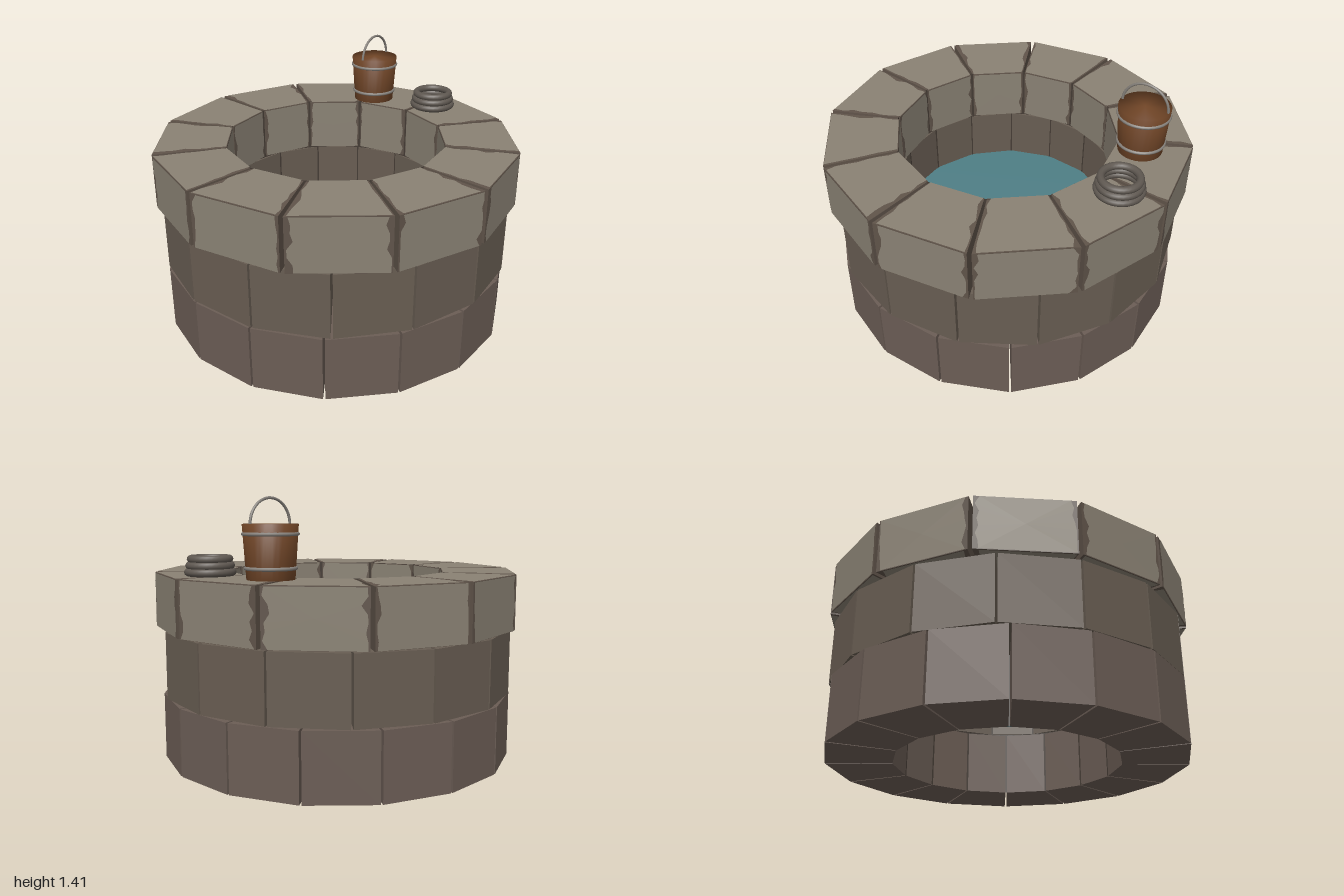
import * as THREE from 'three';
import { mergeGeometries, mergeVertices } from 'three/addons/utils/BufferGeometryUtils.js';

const mat = (name, color, side = THREE.FrontSide) => {
  const m = new THREE.MeshStandardMaterial({ color, side });
  m.name = name;
  return m;
};

// small seeded random generator for the chipped edges
let seed = 7;
const rand = () => (seed = (seed * 16807) % 2147483647) / 2147483647;

// wedge block between two angles (angle runs from +x towards +z)
function blockGeometry(a0, a1, ri, ro, y0, y1) {
  const p = (r, a) => new THREE.Vector2(r * Math.cos(a), r * Math.sin(a));
  const shape = new THREE.Shape([p(ri, a0), p(ro, a0), p(ro, a1), p(ri, a1)]);
  const g = new THREE.ExtrudeGeometry(shape, { depth: y1 - y0, bevelEnabled: false });
  return g.rotateX(Math.PI / 2).translate(0, y1, 0);
}

// thin stone face with ragged ends, lying just above one side of a block
function chippedFace(a0, a1, from, to) {
  const at = ([r, y], a) => new THREE.Vector3(r * Math.cos(a), y, r * Math.sin(a));
  const A = at(from, a0), B = at(from, a1), C = at(to, a1), D = at(to, a0);
  const lift = B.clone().sub(A).cross(D.clone().sub(A)).normalize().multiplyScalar(0.003);
  const point = (u, v) =>
    A.clone().lerp(B, u).lerp(D.clone().lerp(C, u), v).add(lift);
  const chip = () => 0.015 + 0.07 * rand() ** 3;
  const steps = 7;
  const outline = [];
  for (let i = 0; i <= steps; i++) outline.push(point(1 - chip(), 0.008 + 0.984 * i / steps));
  for (let i = steps; i >= 0; i--) outline.push(point(chip(), 0.008 + 0.984 * i / steps));
  const centre = point(0.5, 0.5);
  const tris = outline.flatMap((p, i) => [centre, p, outline[(i + 1) % outline.length]]);
  const g = new THREE.BufferGeometry().setFromPoints(tris);
  g.computeVertexNormals();
  return g;
}

// cylinder whose caps share normals with its wall, for soft shading
function softCylinder(rTop, rBottom, h, sides) {
  const g = new THREE.CylinderGeometry(rTop, rBottom, h, sides);
  g.deleteAttribute('uv');
  g.deleteAttribute('normal');
  const merged = mergeVertices(g);
  merged.computeVertexNormals();
  return merged;
}

export function createModel() {
  const model = new THREE.Group();
  model.name = 'well';
  const lowerStone = mat('lower stone', 0x6b5d55);
  const middleStone = mat('middle stone', 0x685d52);
  const rimStone = mat('rim stone', 0x8a8274);
  const rimEdge = mat('worn rim edge', 0x60544a);
  const mortar = mat('mortar', 0x453c35, THREE.DoubleSide);
  const waterBlue = mat('water', 0x4f7f86);
  const wood = mat('wood', 0x734728);
  const iron = mat('iron', 0x85807a);
  const ropeGrey = mat('rope', 0x5f5851);

  const add = (parent, name, geometry, material, x = 0, y = 0, z = 0) => {
    const m = new THREE.Mesh(geometry, material);
    m.name = name;
    m.position.set(x, y, z);
    parent.add(m);
    return m;
  };

  // ring of blocks: returns the start and end angle of each
  const ring = (count, offset, gap) =>
    Array.from({ length: count }, (_, i) => [
      offset + (i * 2 * Math.PI) / count + gap,
      offset + ((i + 1) * 2 * Math.PI) / count - gap,
    ]);
  const course = (angles, ri, ro, y0, y1) =>
    mergeGeometries(angles.map(([a, b]) => blockGeometry(a, b, ri, ro, y0, y1)));

  // two lower courses
  add(model, 'bottomCourse', course(ring(16, Math.PI / 16, 0.006), 0.61, 0.967, 0, 0.355), lowerStone);
  add(model, 'middleCourse', course(ring(15, 0, 0.006), 0.61, 0.965, 0.362, 0.715), middleStone);

  // rim blocks with paler faces over their worn edges
  const rimAngles = ring(12, 0.122, 0.011);
  const ri = 0.605, ro = 0.997, y0 = 0.725, y1 = 1.017;
  add(model, 'rimBlocks', course(rimAngles, ri, ro, y0, y1), rimEdge);
  const corners = [[ri, y1], [ro, y1], [ro, y0], [ri, y0]];
  const faces = rimAngles.flatMap(([a, b]) =>
    corners.map((c, i) => chippedFace(a, b, c, corners[(i + 1) % 4])));
  add(model, 'rimFaces', mergeGeometries(faces), rimStone);

  // mortar lining behind the joints
  add(model, 'mortarLining', new THREE.CylinderGeometry(0.611, 0.611, 1.02, 48, 1, true), mortar, 0, 0.51, 0);

  // water
  add(model, 'water', softCylinder(0.608, 0.608, 0.015, 48), waterBlue, 0, 0.418, 0);

  // bucket with two hoops and a handle
  const bucket = new THREE.Group();
  bucket.name = 'bucket';
  bucket.position.set(0.688, 1.02, -0.222);
  model.add(bucket);
  add(bucket, 'bucketBody', softCylinder(0.136, 0.118, 0.265, 28), wood, 0, 0.1325, 0);
  for (const [y, r] of [[0.055, 0.122], [0.218, 0.132]]) {
    const hoop = add(bucket, 'hoop', new THREE.TorusGeometry(r, 0.009, 8, 32), iron, 0, y, 0);
    hoop.rotation.x = Math.PI / 2;
  }
  add(bucket, 'handle', new THREE.TorusGeometry(0.126, 0.007, 8, 28, Math.PI), iron, 0, 0.262, 0);

  // coiled rope
  for (const [y, r] of [[1.04, 0.112], [1.073, 0.105], [1.106, 0.097]]) {
    const coil = add(model, 'ropeCoil', new THREE.TorusGeometry(r, 0.02, 10, 32), ropeGrey, 0.757, y, 0.162);
    coil.rotation.x = Math.PI / 2;
  }
  return model;
}
